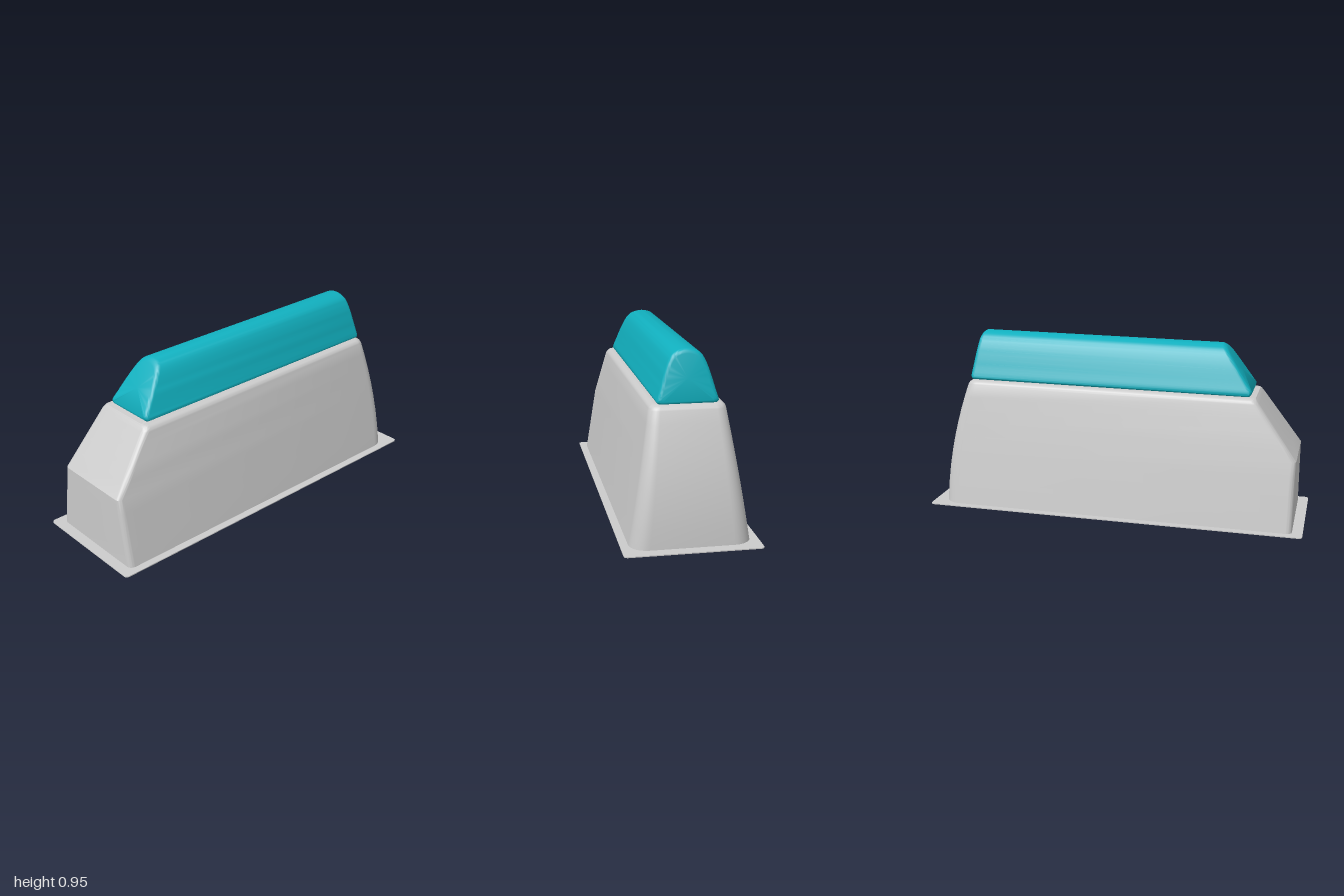
import * as THREE from 'three';
import { toCreasedNormals } from 'three/addons/utils/BufferGeometryUtils.js';

const TILT = 0.0175; // the whole model climbs gently towards +x
const TOP = 0.669;   // height of the housing above its flange
const tilt = (x, y) => y + TILT * (x + 1);

// Skin a stack of closed rings (arrays of [x, y, z]), optionally closing the ends.
function loft(rings, capStart, capEnd, crease) {
  const n = rings[0].length;
  const pos = rings.flat().flatMap(([x, y, z]) => [x, tilt(x, y), z]);
  const idx = [];
  for (let r = 0; r < rings.length - 1; r++) {
    for (let i = 0; i < n; i++) {
      const a = r * n + i, b = r * n + (i + 1) % n;
      idx.push(a, b, b + n, a, b + n, a + n);
    }
  }
  const cap = (r, flip) => {
    const c = pos.length / 3;
    const mid = [0, 1, 2].map(k => rings[r].reduce((s, p) => s + p[k], 0) / n);
    pos.push(mid[0], tilt(mid[0], mid[1]), mid[2]);
    for (let i = 0; i < n; i++) {
      const a = r * n + i, b = r * n + (i + 1) % n;
      idx.push(c, flip ? b : a, flip ? a : b);
    }
  };
  if (capStart) cap(0, true);
  if (capEnd) cap(rings.length - 1, false);
  const g = new THREE.BufferGeometry();
  g.setAttribute('position', new THREE.Float32BufferAttribute(pos, 3));
  g.setIndex(idx);
  return toCreasedNormals(g, crease);
}

// Rounded rectangle in plan, with separate corner radii at the two ends.
function planLoop(xL, xR, w, rL, rR, seg = 8) {
  const pts = [];
  const corners = [[xR, -w, rR, 1, -1], [xL, -w, rL, -1, -1], [xL, w, rL, -1, 1], [xR, w, rR, 1, 1]];
  corners.forEach(([x, z, r, sx, sz], k) => {
    for (let i = 0; i <= seg; i++) {
      const a = (k + i / seg) * Math.PI / 2;
      pts.push([x - sx * r + r * Math.cos(a), z - sz * r - r * Math.sin(a)]);
    }
  });
  return pts;
}

// Housing outline at height y: sloped nose at -x, bowed end at +x, leaning sides.
const NOSE = 0.365;
function housingLoop(y, inset = 0) {
  const xL = y < NOSE ? -0.945 - 0.005 * y / NOSE : -0.95 + 0.222 * (y - NOSE) / (TOP - NOSE);
  const xR = 0.94 - 0.257 * Math.pow(y, 1.9) - inset;
  const w = 0.293 - 0.1667 * y - inset;
  return planLoop(xL, xR, w, 0.03, 0.09 - 0.04 * y / TOP - inset * 0.7);
}

function housing() {
  const r = 0.028;
  const levels = [[0, 0], [0.1, 0], [0.2, 0], [0.29, 0], [NOSE, 0], [0.44, 0], [0.51, 0], [0.58, 0]];
  for (let i = 0; i <= 6; i++) {
    const a = i / 6 * Math.PI / 2;
    levels.push([TOP - r + r * Math.sin(a), r * (1 - Math.cos(a))]);
  }
  return loft(levels.map(([y, d]) => housingLoop(y, d).map(([x, z]) => [x, y, z])), false, true, 0.5);
}

// Thin flange around the open underside.
function flange() {
  const toVec = ([x, z]) => new THREE.Vector2(x, -z);
  const shape = new THREE.Shape(planLoop(-1, 1, 0.333, 0.02, 0.02).map(toVec));
  shape.holes.push(new THREE.Path(housingLoop(0).map(toVec)));
  const g = new THREE.ExtrudeGeometry(shape, { depth: 0.005, bevelEnabled: false });
  g.rotateX(-Math.PI / 2);
  const p = g.attributes.position;
  for (let i = 0; i < p.count; i++) p.setY(i, tilt(p.getX(i), p.getY(i)));
  g.computeVertexNormals();
  return g;
}

// Domed top cover: one arched section run along x, with slanted, softened ends.
function cover() {
  const half = [[0.135, 0.667], [0.147, 0.676], [0.146, 0.69], [0.133, 0.733],
    [0.106, 0.823], [0.079, 0.884], [0.048, 0.911]];
  const arch = [...half.map(([z, y]) => [-z, y]), [0, 0.922], ...half.slice().reverse()];
  const section = new THREE.SplineCurve(arch.map(([z, y]) => new THREE.Vector2(z, y))).getPoints(56);
  const xL = y => Math.max(-0.705, -0.695 + 0.68 * (y - 0.712));
  const xR = y => 0.817 - 0.165 * (y - 0.68);
  const r = 0.022, steps = 5, cy = 0.79;
  const ring = (end, dir, a) => {
    const f = 1 - r * (1 - Math.sin(a)) / 0.13;
    return section.map(p => {
      const z = p.x * f, y = cy + (p.y - cy) * f;
      return [end(y) + dir * r * (1 - Math.cos(a)), y, z];
    });
  };
  const rings = [];
  for (let i = 0; i <= steps; i++) rings.push(ring(xL, 1, i / steps * Math.PI / 2));
  for (let i = steps; i >= 0; i--) rings.push(ring(xR, -1, i / steps * Math.PI / 2));
  return loft(rings, true, true, 0.9);
}

export function createModel() {
  const group = new THREE.Group();
  const grey = new THREE.MeshStandardMaterial({ color: 0xcccccc, side: THREE.DoubleSide });
  const teal = new THREE.MeshStandardMaterial({ color: 0x11b0bf });
  const add = (name, geometry, material) => {
    const mesh = new THREE.Mesh(geometry, material);
    mesh.name = name;
    group.add(mesh);
  };
  add('housing', housing(), grey);
  add('baseFlange', flange(), grey);
  add('topCover', cover(), teal);
  return group;
}
